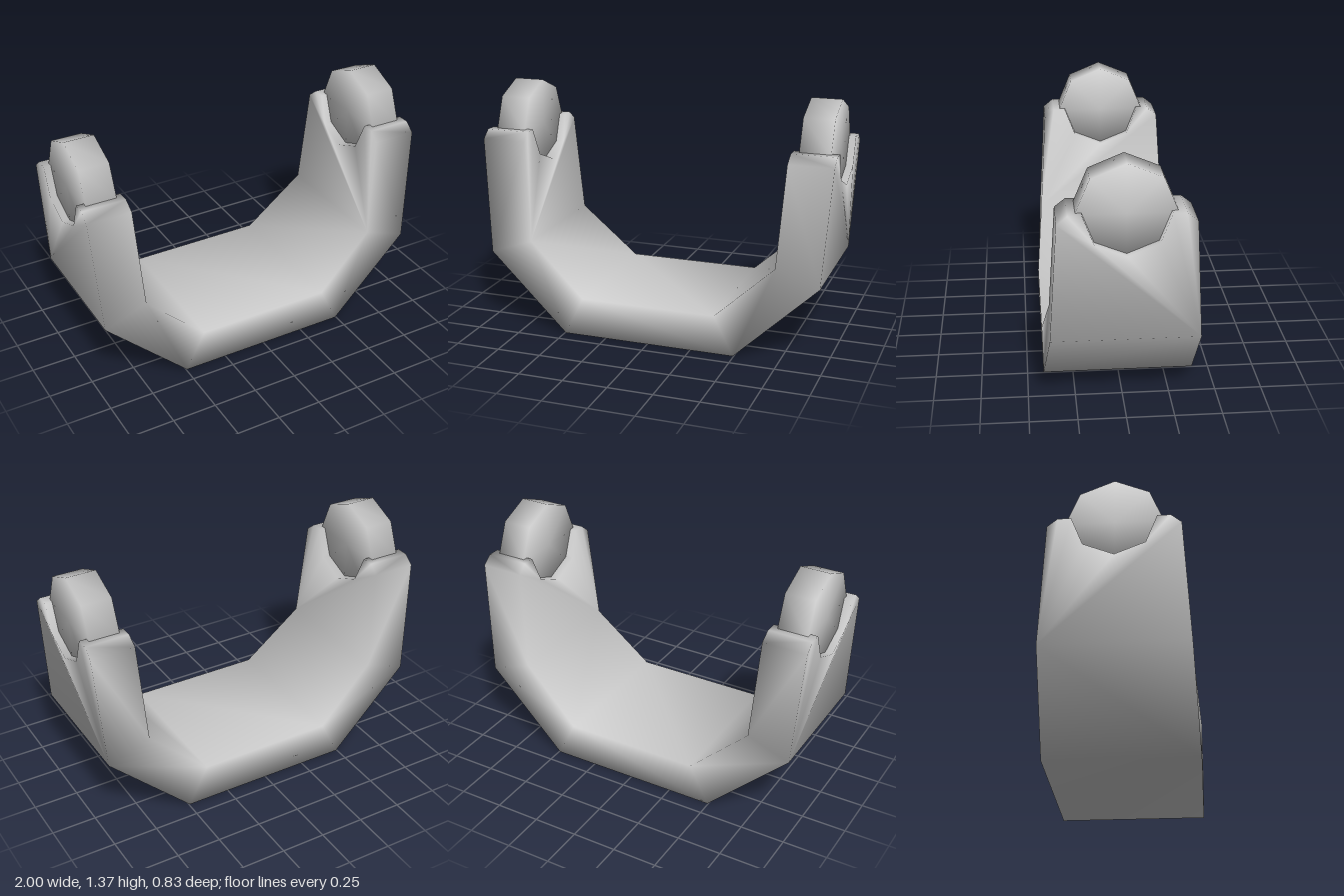
import * as THREE from 'three';
import { mergeVertices } from 'three/addons/utils/BufferGeometryUtils.js';

const material = new THREE.MeshStandardMaterial({ color: 0xcccccc });

// Arm side outline as [z, y], from the back knee over the notch to the front knee
const crown = [
  [-0.345, 1.08], [-0.29, 1.125], [-0.22, 1.125], [-0.16, 0.97], [0, 0.905],
  [0.16, 0.97], [0.22, 1.125], [0.29, 1.125], [0.345, 1.08],
];
// Triangles filling that outline, fanned around the notch
const sideFaces = [
  [0, 1, 2], [0, 2, 3], [0, 3, 4], [0, 4, 5], [0, 5, 6],
  [0, 6, 9], [6, 7, 8], [6, 8, 9], [0, 9, 10],
];

const COUNT = 26; // corners in one half
const IN = 11; // first corner of the inner outline
const [A, B, C, D] = [22, 23, 24, 25]; // bar end: outer back/front, inner back/front

// Corners of one half of the yoke; s is the side (+1 left, -1 right)
function halfCorners(s) {
  const innerX = (y) => 0.71 + (0.045 * (y - 0.515)) / 0.61;
  const outer = [
    [0.955, 0.43, -0.385],
    ...crown.map(([z, y]) => [1, y, z]),
    [0.955, 0.43, 0.385],
  ];
  const inner = [
    [0.71, 0.515, -0.38],
    ...crown.map(([z, y]) => [innerX(y), y, z]),
    [0.71, 0.515, 0.38],
  ];
  const barEnd = [
    [0.495, 0, -0.412], [0.495, 0, 0.412],
    [0.385, 0.22, -0.415], [0.385, 0.22, 0.415],
  ];
  return [...outer, ...inner, ...barEnd].flatMap(([x, y, z]) => [s * x, y, z]);
}

function halfFaces() {
  const faces = [];
  const quad = (a, b, c, d) => faces.push([a, b, c], [a, c, d]);
  // Outer and inner walls of the arm
  for (const f of sideFaces) {
    faces.push(f, f.map((i) => IN + 10 - i));
  }
  // Rim: front and back of the arm, rounded shoulders and notch
  for (let i = 0; i < 10; i++) quad(i + 1, i, IN + i, IN + i + 1);
  // Sloping elbow down to the bar
  quad(0, 10, B, A);
  faces.splice(-2, 2, [A, 0, B], [0, 10, B]);
  faces.push([D, IN + 10, C], [IN + 10, IN, C]);
  quad(0, A, C, IN);
  quad(B, 10, IN + 10, D);
  return faces;
}

function yokeGeometry() {
  const half = halfFaces();
  const faces = [...half, ...half.map(([a, b, c]) => [a + COUNT, c + COUNT, b + COUNT])];
  // Cross bar joining both halves: bottom, front, top, back
  for (const [a, b] of [[A, B], [B, D], [D, C], [C, A]]) {
    faces.push([a, b, b + COUNT], [a, b + COUNT, a + COUNT]);
  }
  const geometry = new THREE.BufferGeometry();
  const corners = [...halfCorners(1), ...halfCorners(-1)];
  geometry.setAttribute('position', new THREE.Float32BufferAttribute(corners, 3));
  geometry.setIndex(faces.flat());
  geometry.computeVertexNormals();
  return geometry;
}

// Eight-sided disc with softly shaded edges, axis along x
function discGeometry() {
  let geometry = new THREE.CylinderGeometry(0.255, 0.255, 0.17, 8);
  geometry.rotateZ(Math.PI / 2);
  geometry.deleteAttribute('uv');
  geometry.deleteAttribute('normal');
  geometry = mergeVertices(geometry);
  geometry.computeVertexNormals();
  return geometry;
}

export function createModel() {
  const model = new THREE.Group();
  model.name = 'yoke';

  const bracket = new THREE.Mesh(yokeGeometry(), material);
  bracket.name = 'bracket';
  model.add(bracket);

  // Pivot discs seated in the notches
  for (const s of [1, -1]) {
    const disc = new THREE.Mesh(discGeometry(), material);
    disc.name = s > 0 ? 'leftPivotDisc' : 'rightPivotDisc';
    disc.position.set(s * 0.875, 1.115, 0);
    model.add(disc);
  }
  return model;
}
